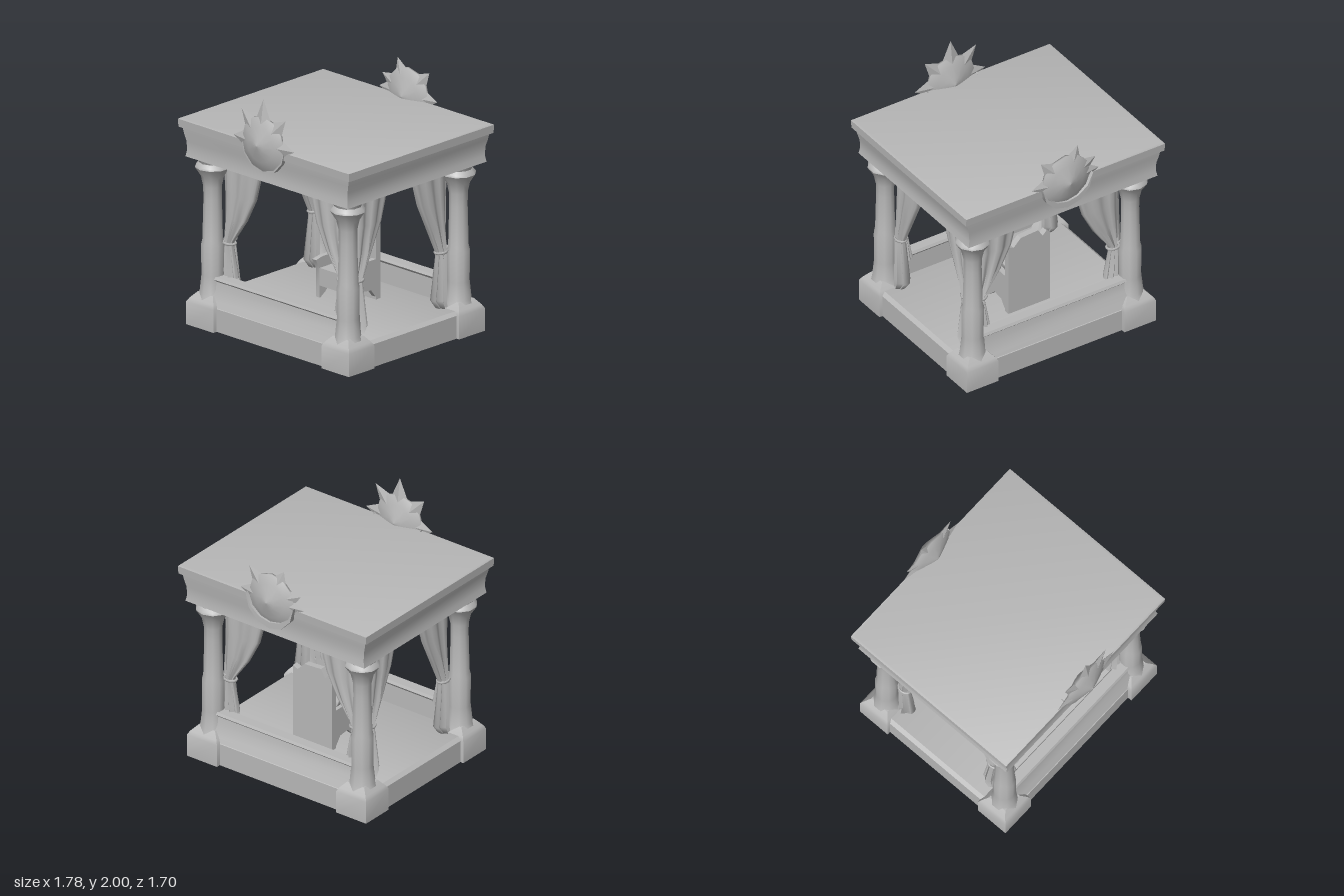
import * as THREE from 'three';
import { toCreasedNormals } from 'three/addons/utils/BufferGeometryUtils.js';

export function createModel() {
  const model = new THREE.Group();
  const stone = new THREE.MeshStandardMaterial({ color: 0xb8b8b8, side: THREE.DoubleSide });
  stone.name = 'grey stone';

  const add = (name, geo, x = 0, y = 0, z = 0, parent = model) => {
    const m = new THREE.Mesh(geo, stone);
    m.name = name;
    m.position.set(x, y, z);
    parent.add(m);
    return m;
  };

  // Closed loft through rings of points, listed bottom to top
  function loft(rings, crease = 0.6) {
    const n = rings[0].length, pos = rings.flat(2), idx = [];
    for (let r = 0; r < rings.length - 1; r++) for (let i = 0; i < n; i++) {
      const a = r * n + i, b = r * n + (i + 1) % n;
      idx.push(a, a + n, b, b, a + n, b + n);
    }
    const last = (rings.length - 1) * n;
    for (let i = 1; i < n - 1; i++) idx.push(0, i, i + 1, last, last + i + 1, last + i);
    const g = new THREE.BufferGeometry();
    g.setAttribute('position', new THREE.Float32BufferAttribute(pos, 3));
    g.setIndex(idx);
    return toCreasedNormals(g, crease);
  }
  // Rectangular ring: height, half width, half depth
  const rect = ([y, w, d]) => [[-w, y, -d], [w, y, -d], [w, y, d], [-w, y, d]];
  const stack = (...rows) => loft(rows.map(rect));
  const points = list => list.map(p => new THREE.Vector2(...p));

  const extrude = (pts, depth) => {
    const g = new THREE.ExtrudeGeometry(new THREE.Shape(points(pts)), { depth, bevelEnabled: false });
    return toCreasedNormals(g.translate(0, 0, -depth / 2), 0.6);
  };

  // Floor, and the roof with its curved frieze and cornice
  add('floor', stack([0, 0.82, 0.69], [0.18, 0.82, 0.69], [0.205, 0.79, 0.65]));
  add('roof', stack([1.33, 0.845, 0.74], [1.38, 0.835, 0.733], [1.45, 0.838, 0.735], [1.51, 0.855, 0.745],
    [1.56, 0.865, 0.75], [1.561, 0.888, 0.77], [1.625, 0.89, 0.775], [1.632, 0.87, 0.755]), 0, 0, -0.005);

  // Columns on corner blocks
  const profile = points([[0.12, 0.2], [0.1, 0.26], [0.085, 0.4], [0.088, 0.64], [0.078, 0.68], [0.07, 1.0],
    [0.072, 1.1], [0.09, 1.18], [0.135, 1.25], [0.13, 1.265], [0.105, 1.29], [0.125, 1.335]]);
  const column = toCreasedNormals(new THREE.LatheGeometry(profile, 10), 0.75);
  const block = stack([0, 0.142, 0.137], [0.18, 0.142, 0.137], [0.21, 0.125, 0.12], [0.26, 0.08, 0.08]);

  // Gathered curtain hanging along +x: rows of height, outer edge, inner edge, thickness
  function curtain(rows) {
    const n = 28;
    return loft(rows.map(([y, a, b, t]) => Array.from({ length: n }, (_, i) => {
      const k = i / n * Math.PI * 2;
      const fold = 1 + 0.38 * Math.cos(k * 7);
      return [(a + b) / 2 - (b - a) / 2 * Math.cos(k), y, t * Math.sin(k) * fold];
    })), 1.2);
  }
  const frontCurtain = curtain([[0.39, 0.07, 0.19, 0.04], [0.45, 0.07, 0.18, 0.04], [0.63, 0.075, 0.145, 0.03],
    [0.67, 0.075, 0.15, 0.03], [0.86, 0.07, 0.29, 0.035], [1.05, 0.07, 0.39, 0.04], [1.34, 0.05, 0.47, 0.04]]);
  const sideCurtain = curtain([[0.21, 0.1, 0.18, 0.04], [0.28, 0.1, 0.235, 0.045], [0.62, 0.09, 0.19, 0.03],
    [0.67, 0.09, 0.2, 0.03], [0.86, 0.1, 0.29, 0.035], [1.07, 0.1, 0.39, 0.04], [1.34, 0.09, 0.47, 0.04]]);
  const tie = new THREE.TorusGeometry(0.052, 0.011, 5, 12).rotateX(Math.PI / 2).scale(1, 1, 0.8);

  for (const sx of [1, -1]) for (const sz of [1, -1]) {
    const x = sx * 0.705, z = sz * 0.588;
    add('cornerBlock', block, x, 0, z);
    add('column', column, x, 0, z);
    // Curtains hang just inside the line of the columns
    const front = new THREE.Group(), side = new THREE.Group();
    front.name = 'frontCurtain';
    side.name = 'sideCurtain';
    front.position.set(x, 0, sz * 0.52);
    side.position.set(sx * 0.66, 0, z);
    front.rotation.y = sx > 0 ? Math.PI : 0;
    side.rotation.y = sz > 0 ? Math.PI / 2 : -Math.PI / 2;
    add('drape', frontCurtain, 0, 0, 0, front);
    add('tieBand', tie, 0.11, 0.655, 0, front);
    add('drape', sideCurtain, 0, 0, 0, side);
    add('tieBand', tie, 0.142, 0.65, 0, side);
    model.add(front, side);
  }

  // Low walls with a rail, front and back
  const wall = extrude([[0.55, 0.19], [0.69, 0.17], [0.67, 0.22], [0.635, 0.3], [0.625, 0.365], [0.64, 0.38],
    [0.63, 0.4], [0.55, 0.4], [0.54, 0.38], [0.555, 0.36]], 1.3);
  for (const s of [1, -1]) add('lowWall', wall).rotation.y = -s * Math.PI / 2;

  // Sun ornaments: pointed lens face, flat rays and a crescent collar
  const lens = new THREE.LatheGeometry(points([[0, -0.078], [0.06, -0.062], [0.14, -0.035], [0.215, -0.008],
    [0.215, 0.008], [0.14, 0.035], [0.06, 0.062], [0, 0.078]]), 12).rotateX(Math.PI / 2);
  const crescent = [];
  for (let i = 0; i <= 6; i++) {
    const a = Math.PI * (1 + i / 6);
    crescent.push([Math.cos(a) * 0.225, Math.sin(a) * 0.232]);
  }
  for (let i = 5; i > 0; i--) {
    const a = Math.PI * (1 + i / 6), r = 0.225 - 0.045 * Math.sin(Math.PI * i / 6);
    crescent.push([Math.cos(a) * r, Math.sin(a) * r]);
  }
  const collar = extrude(crescent, 0.045);

  function sun(name, z, tips) {
    const g = new THREE.Group();
    g.name = name;
    g.position.set(0, 1.645, z);
    model.add(g);
    add('face', lens, 0, 0, 0, g);
    for (const [tx, ty] of tips) {
      const len = Math.hypot(tx, ty) - 0.13;
      const ray = new THREE.ConeGeometry(0.1, len, 4).scale(1, 1, 0.32).translate(0, 0.13 + len / 2, 0);
      add('ray', toCreasedNormals(ray, 0.3), 0, 0, 0, g).rotation.z = Math.atan2(ty, tx) - Math.PI / 2;
    }
    add('collar', collar, 0, 0, -0.015, g);
  }
  sun('frontSun', 0.768, [[0, 0.355], [0.23, 0.235], [0.32, 0.01], [-0.23, 0.235], [-0.31, 0]]);
  sun('backSun', -0.775, [[-0.11, 0.27], [0.22, 0.22], [0.3, 0.01], [-0.27, 0.11], [-0.3, 0]]);

  // Throne
  const throne = new THREE.Group();
  throne.name = 'throne';
  model.add(throne);
  add('backrest', extrude([[-0.185, 0.2], [0.185, 0.2], [0.185, 0.81], [0.14, 0.79], [0.11, 0.82], [0.075, 0.855],
    [-0.08, 0.865], [-0.12, 0.8], [-0.155, 0.835], [-0.185, 0.81]], 0.05), 0, 0, -0.265, throne);
  const panel = extrude([[0.02, 0.2], [0.02, 0.43], [0.06, 0.51], [-0.01, 0.525], [-0.27, 0.525], [-0.29, 0.2],
    [-0.235, 0.23], [-0.19, 0.29], [-0.1, 0.3], [-0.04, 0.24]], 0.04);
  for (const s of [1, -1]) add('armPanel', panel, s * 0.165, 0, 0, throne).rotation.y = -Math.PI / 2;
  add('seat', new THREE.BoxGeometry(0.32, 0.14, 0.27), 0, 0.37, -0.115, throne);
  add('cushion', stack([0.44, 0.1, 0.03], [0.49, 0.12, 0.04], [0.56, 0.165, 0.045], [0.58, 0.165, 0.035]),
    -0.01, 0, -0.16, throne);

  return model;
}
